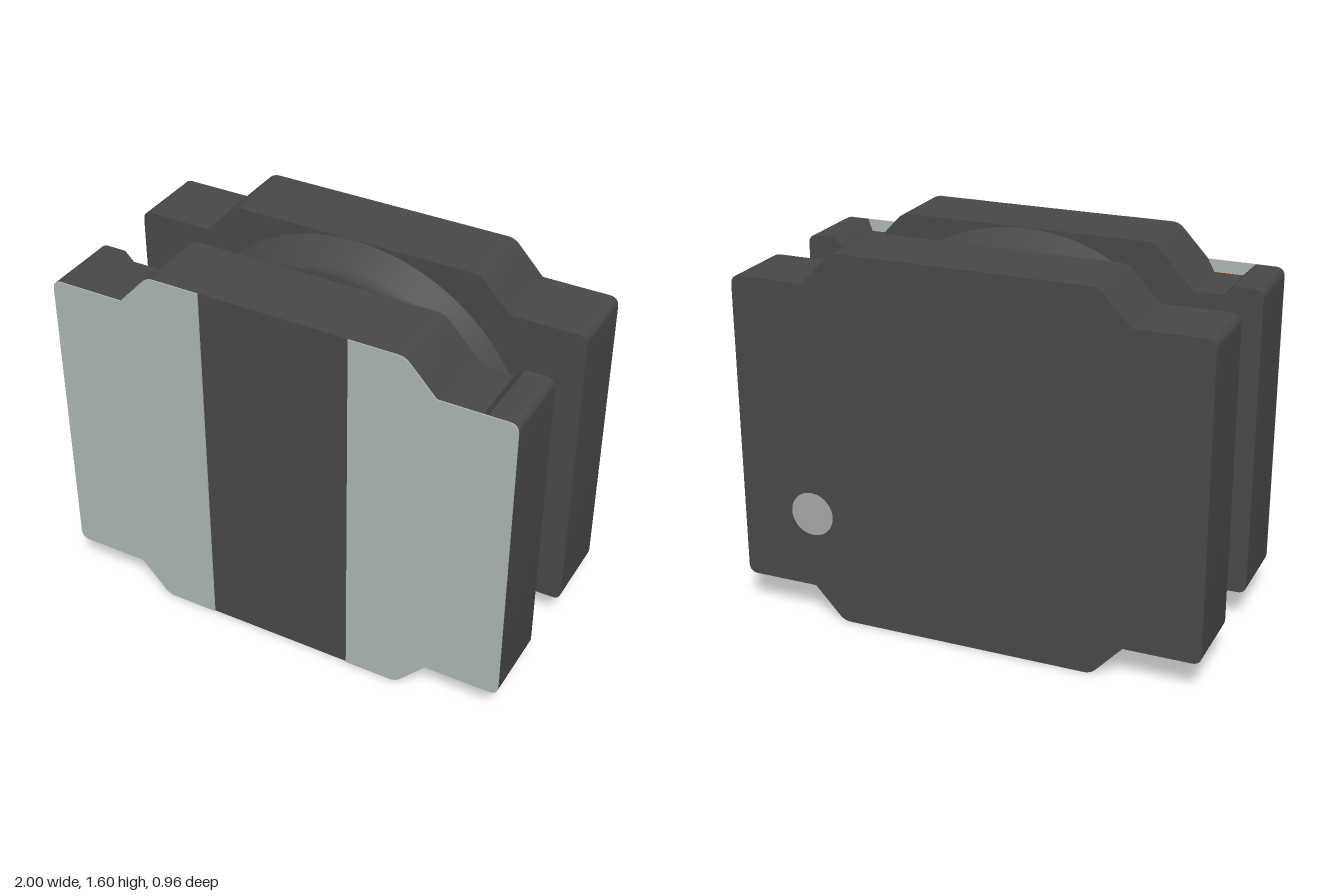
import * as THREE from 'three';
import { toCreasedNormals } from 'three/addons/utils/BufferGeometryUtils.js';

const MID = 0.8; // height of the coil axis

const ferrite = new THREE.MeshStandardMaterial({ color: 0x484848 });
const tin = new THREE.MeshStandardMaterial({ color: 0xaeb7b6 });
const copper = new THREE.MeshStandardMaterial({ color: 0xc8967a });
const paint = new THREE.MeshStandardMaterial({ color: 0xa8a8a8 });

// Closed shape from [x, y, cornerRadius] points
function roundedShape(points) {
  const shape = new THREE.Shape();
  const n = points.length;
  points.forEach(([x, y, r = 0], i) => {
    const toward = ([px, py]) => {
      const d = Math.hypot(px - x, py - y);
      return [x + (px - x) * r / d, y + (py - y) * r / d];
    };
    const a = toward(points[(i + n - 1) % n]);
    const b = toward(points[(i + 1) % n]);
    if (i === 0) shape.moveTo(...a); else shape.lineTo(...a);
    if (r) shape.quadraticCurveTo(x, y, ...b);
  });
  shape.closePath();
  return shape;
}

// Mirror a run of points left-right or top-bottom, keeping the loop order
const flipX = (pts) => pts.map(([x, y, r]) => [-x, y, r]).reverse();
const flipY = (pts) => pts.map(([x, y, r]) => [x, -y, r]).reverse();
const fourWay = (q) => {
  const top = [...q, ...flipX(q)];
  return [...top, ...flipY(top)];
};
const twoWay = (q) => [...flipY(q), ...q];

function slab(points, z0, z1) {
  const geo = new THREE.ExtrudeGeometry(roundedShape(points), {
    depth: z1 - z0, bevelEnabled: false, curveSegments: 6,
  });
  return geo.translate(0, MID, z0);
}

export function createModel() {
  const model = new THREE.Group();
  const add = (name, geo, material, crease = 0.6) => {
    const mesh = new THREE.Mesh(crease ? toCreasedNormals(geo, crease) : geo, material);
    mesh.name = name;
    model.add(mesh);
    return mesh;
  };

  // Outline corners of one quadrant
  const side = [1, 0.66, 0.04];
  const shoulder = [0.68, 0.66];
  const crown = [0.55, 0.8, 0.03];
  const grooveOut = [[0.88, 0.66], [0.84, 0.62]];
  const grooveIn = [[0.72, 0.62], shoulder];

  // Flanges: plain at the back, notched for the wires at the front
  add('backFlange', slab(fourWay([side, shoulder, crown]), -0.48, -0.16), ferrite);
  add('frontFlange', slab(fourWay([side, ...grooveOut, ...grooveIn, crown]), 0.15, 0.43), ferrite);

  // Front face pads, their groove walls sloping outward to the front
  function slopeGroove(geo, inner, outer) {
    const p = geo.attributes.position;
    for (let i = 0; i < p.count; i++) {
      const x = p.getX(i);
      if (p.getZ(i) > 0.45 && Math.abs(Math.abs(x) - inner) < 0.001) {
        p.setX(i, Math.sign(x) * outer);
        p.setY(i, MID + Math.sign(p.getY(i) - MID) * 0.66);
      }
    }
    return geo;
  }
  add('centrePad', slopeGroove(slab(fourWay([...grooveIn, crown]), 0.43, 0.47), 0.72, 0.68), ferrite);
  const outerPad = twoWay([side, ...grooveOut]);
  const plate = twoWay([side, shoulder, crown, [0.32, 0.8]]);

  // Winding core with a rounded V waist
  const waist = [[0.8, -0.165], [0.747, -0.045], [0.737, -0.022], [0.733, 0],
    [0.737, 0.022], [0.747, 0.045], [0.8, 0.155]].map(([r, z]) => new THREE.Vector2(r, z));
  const core = new THREE.LatheGeometry(waist, 96).rotateX(Math.PI / 2).translate(0, MID, 0);
  add('core', core, ferrite, 0);

  // Wire path: down behind the front flange, under it and up its face
  const V = (y, z) => new THREE.Vector3(0, y, z);
  const path = new THREE.CurvePath();
  const bends = [[V(0.2, 0.138), V(0.168, 0.138), V(0.168, 0.17)],
    [V(0.168, 0.415), V(0.168, 0.447), V(0.2, 0.447)]];
  const start = V(0.47, 0.132);
  const end = V(1.4, 0.447);
  let from = start;
  for (const [a, b, c] of bends) {
    path.add(new THREE.LineCurve3(from, a));
    path.add(new THREE.QuadraticBezierCurve3(a, b, c));
    from = c;
  }
  path.add(new THREE.LineCurve3(from, end));
  const WIRE = 0.0195;

  for (const s of [1, -1]) {
    const label = s > 0 ? 'left' : 'right';
    const mirror = s > 0 ? (p) => p : flipX;
    add(label + 'OuterPad', slopeGroove(slab(mirror(outerPad), 0.43, 0.47), 0.84, 0.88), ferrite);
    add(label + 'Terminal', slab(mirror(plate), 0.47, 0.475), tin);

    // Flattened wire with rounded ends
    const wire = new THREE.Group();
    wire.name = label + 'Wire';
    wire.add(new THREE.Mesh(new THREE.TubeGeometry(path, 120, WIRE, 16), copper));
    for (const tip of [start, end]) {
      const cap = new THREE.Mesh(new THREE.SphereGeometry(WIRE, 16, 12), copper);
      cap.position.copy(tip);
      wire.add(cap);
    }
    wire.children.forEach((m, i) => { m.name = i ? 'wireEnd' : 'wireRun'; });
    wire.scale.x = 3.1;
    wire.position.x = s * 0.78;
    model.add(wire);
  }

  // Polarity dot on the back
  const dot = add('markerDot', new THREE.CircleGeometry(0.095, 40), paint, 0);
  dot.rotation.y = Math.PI;
  dot.position.set(0.68, 0.47, -0.482);

  return model;
}
